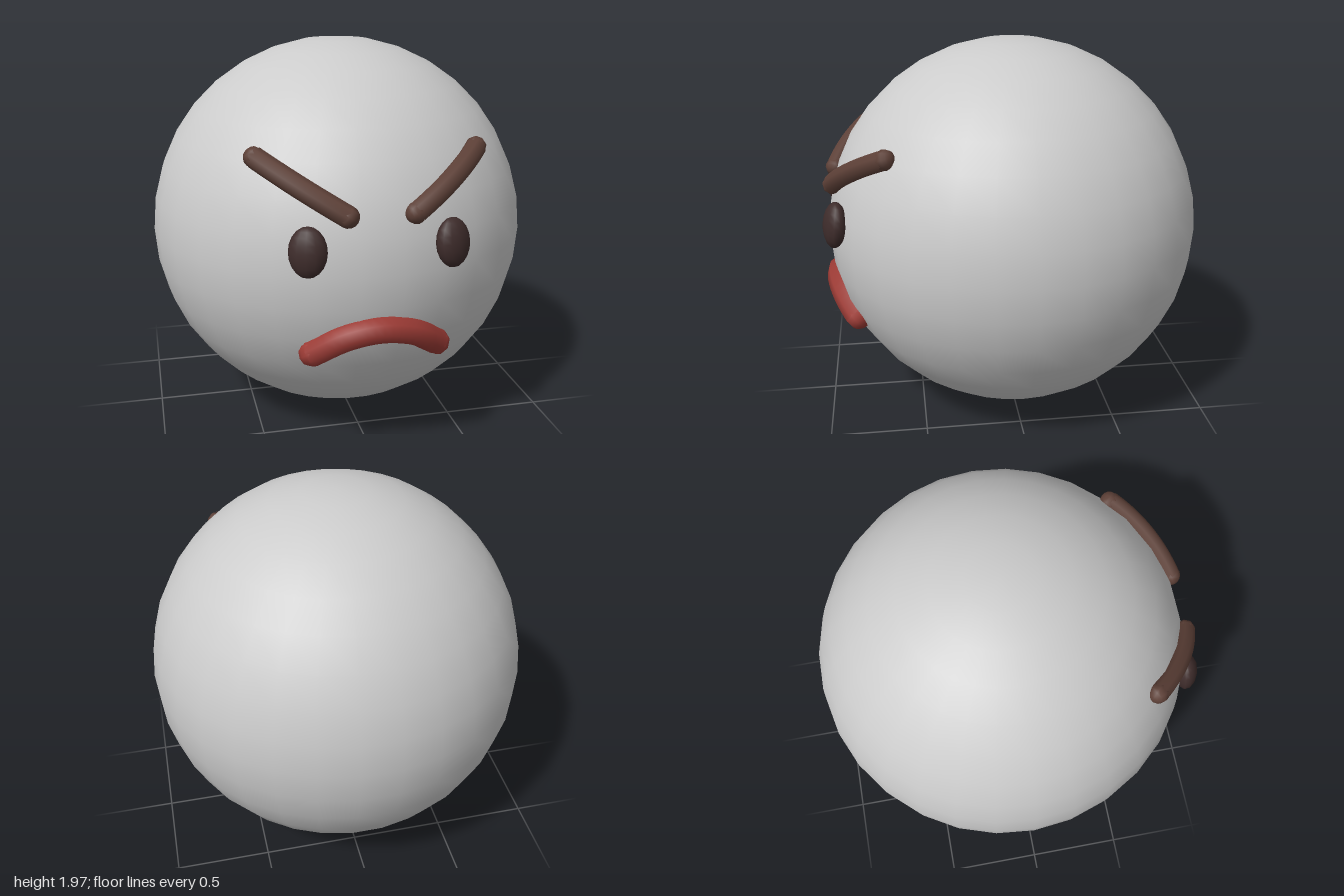
import * as THREE from 'three';

const CENTER = new THREE.Vector3(0, 0.985, -0.02);
const RADIUS = 0.985;

const skin = new THREE.MeshStandardMaterial({ color: 0xcccccc });
const eyeDark = new THREE.MeshStandardMaterial({ color: 0x3e2c2b });
const browBrown = new THREE.MeshStandardMaterial({ color: 0x5d4037 });
const lipRed = new THREE.MeshStandardMaterial({ color: 0x9c3b35 });

// Point on the front of the head, raised by lift along the surface normal
function onFace(x, y, lift = 0) {
  const dy = y - CENTER.y;
  const normal = new THREE.Vector3(x, dy, Math.sqrt(RADIUS * RADIUS - x * x - dy * dy)).normalize();
  return normal.multiplyScalar(RADIUS + lift).add(CENTER);
}

// Rounded strip that follows the head: a tube with a ball at each end
function strip(name, points, radius, lift, material) {
  const group = new THREE.Group();
  group.name = name;
  const flat = new THREE.CatmullRomCurve3(points.map(([x, y]) => new THREE.Vector3(x, y, 0)));
  const path = new THREE.CatmullRomCurve3(flat.getPoints(12).map((p) => onFace(p.x, p.y, lift)));
  const body = new THREE.Mesh(new THREE.TubeGeometry(path, 20, radius, 8), material);
  body.name = name + 'Body';
  group.add(body);
  for (const t of [0, 1]) {
    const end = new THREE.Mesh(new THREE.SphereGeometry(radius, 8, 8), material);
    end.name = name + 'End';
    end.position.copy(path.getPoint(t));
    end.quaternion.setFromUnitVectors(new THREE.Vector3(0, 1, 0), path.getTangent(t));
    group.add(end);
  }
  return group;
}

export function createModel() {
  const model = new THREE.Group();
  model.name = 'angryFace';

  // Head
  const head = new THREE.Mesh(new THREE.SphereGeometry(RADIUS, 30, 18), skin);
  head.name = 'head';
  head.position.copy(CENTER);
  model.add(head);

  for (const [side, s] of [['left', 1], ['right', -1]]) {
    // Flattened oval eye turned to face outward
    const eye = new THREE.Mesh(new THREE.SphereGeometry(1, 12, 10), eyeDark);
    eye.name = side + 'Eye';
    eye.scale.set(0.09, 0.118, 0.056);
    eye.position.copy(onFace(s * 0.333, 1.11, 0.02));
    eye.lookAt(eye.position.clone().multiplyScalar(2).sub(CENTER));
    model.add(eye);

    // Slanted brow
    model.add(strip(side + 'Brow', [[s * 0.155, 1.263], [s * 0.34, 1.375], [s * 0.525, 1.488]], 0.052, 0.015, browBrown));
  }

  // Frowning mouth
  const frown = [[-0.305, 0.585], [-0.165, 0.68], [0, 0.717], [0.165, 0.68], [0.305, 0.585]];
  model.add(strip('mouth', frown, 0.066, 0.003, lipRed));

  return model;
}
